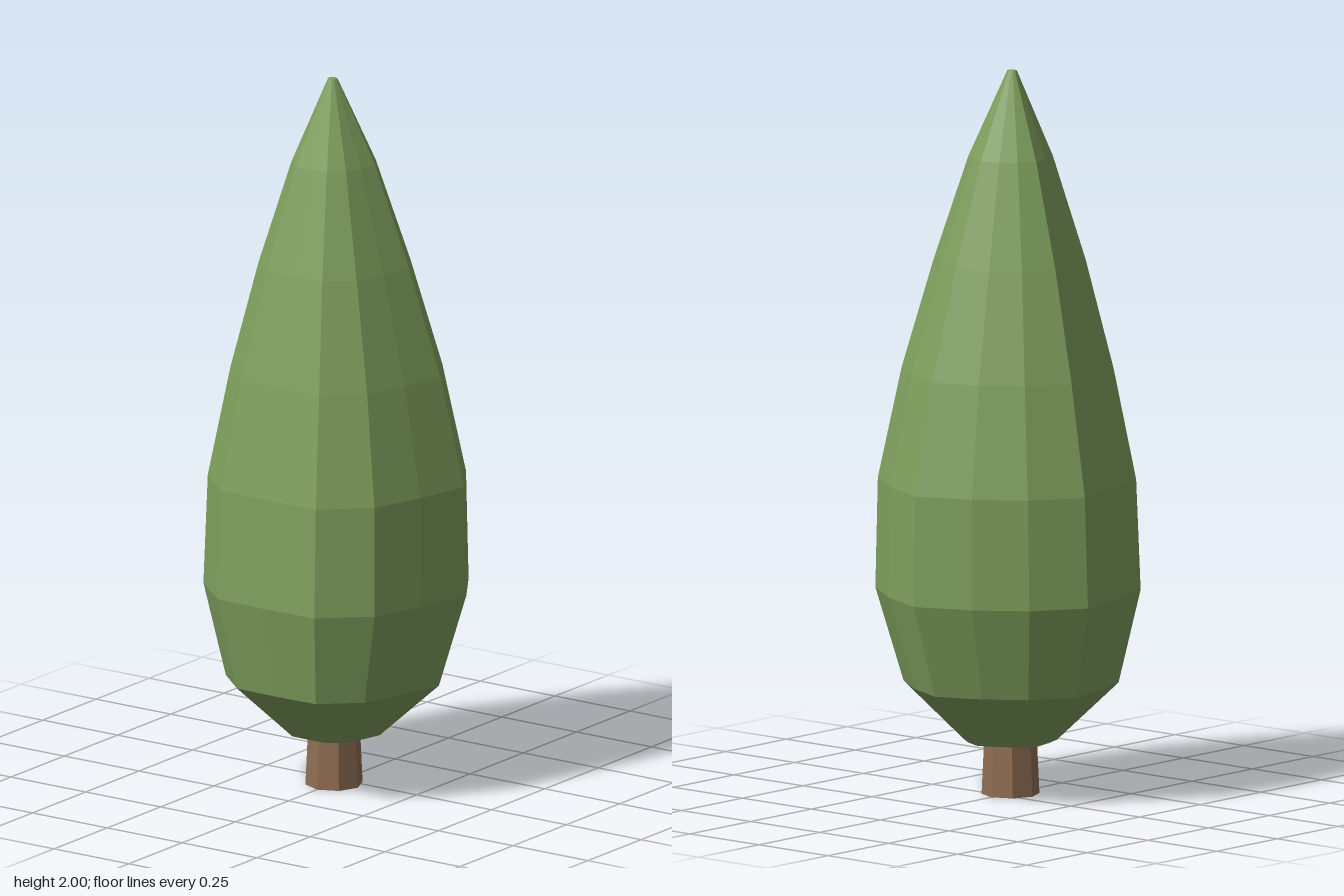
import * as THREE from 'three';

const leafGreen = new THREE.MeshStandardMaterial({ color: 0x7f9f5d, flatShading: true, side: THREE.DoubleSide });
leafGreen.name = 'leafGreen';
const barkBrown = new THREE.MeshStandardMaterial({ color: 0x8e6d53, flatShading: true });
barkBrown.name = 'barkBrown';

// Foliage rings from bottom to top: [radius, height, x of the centre]
const RINGS = [
  [0.127, 0.15, -0.034],
  [0.293, 0.31, -0.034],
  [0.3615, 0.57, -0.02],
  [0.352, 0.875, -0.016],
  [0.289, 1.18, -0.02],
  [0.207, 1.48, -0.03],
  [0.115, 1.765, -0.036],
  [0.013, 2.0, -0.043],
  [0, 2.0, -0.043], // closes the tip
];
const SIDES = 14;

// Faceted crown, open underneath, with a slight five-lobed unevenness
function makeFoliage() {
  const profile = RINGS.map(([r, y]) => new THREE.Vector2(r, y));
  const geo = new THREE.LatheGeometry(profile, SIDES, Math.PI / 2);
  const pos = geo.attributes.position;
  for (let i = 0; i < pos.count; i++) {
    const [r, y, cx] = RINGS[i % RINGS.length];
    const a = Math.atan2(pos.getZ(i), pos.getX(i));
    const lobed = r * (1 + 0.055 * Math.cos(5 * a));
    pos.setXYZ(i, cx + lobed * Math.cos(a), y, lobed * Math.sin(a));
  }
  geo.computeVertexNormals();
  const mesh = new THREE.Mesh(geo, leafGreen);
  mesh.name = 'foliage';
  return mesh;
}

// Tapered eight-sided trunk reaching up inside the crown
function makeTrunk() {
  const height = 0.36;
  const mesh = new THREE.Mesh(new THREE.CylinderGeometry(0.062, 0.079, height, 8), barkBrown);
  mesh.position.set(-0.037, height / 2, 0);
  mesh.name = 'trunk';
  return mesh;
}

export function createModel() {
  const tree = new THREE.Group();
  tree.name = 'cypressTree';
  tree.add(makeTrunk(), makeFoliage());
  return tree;
}
